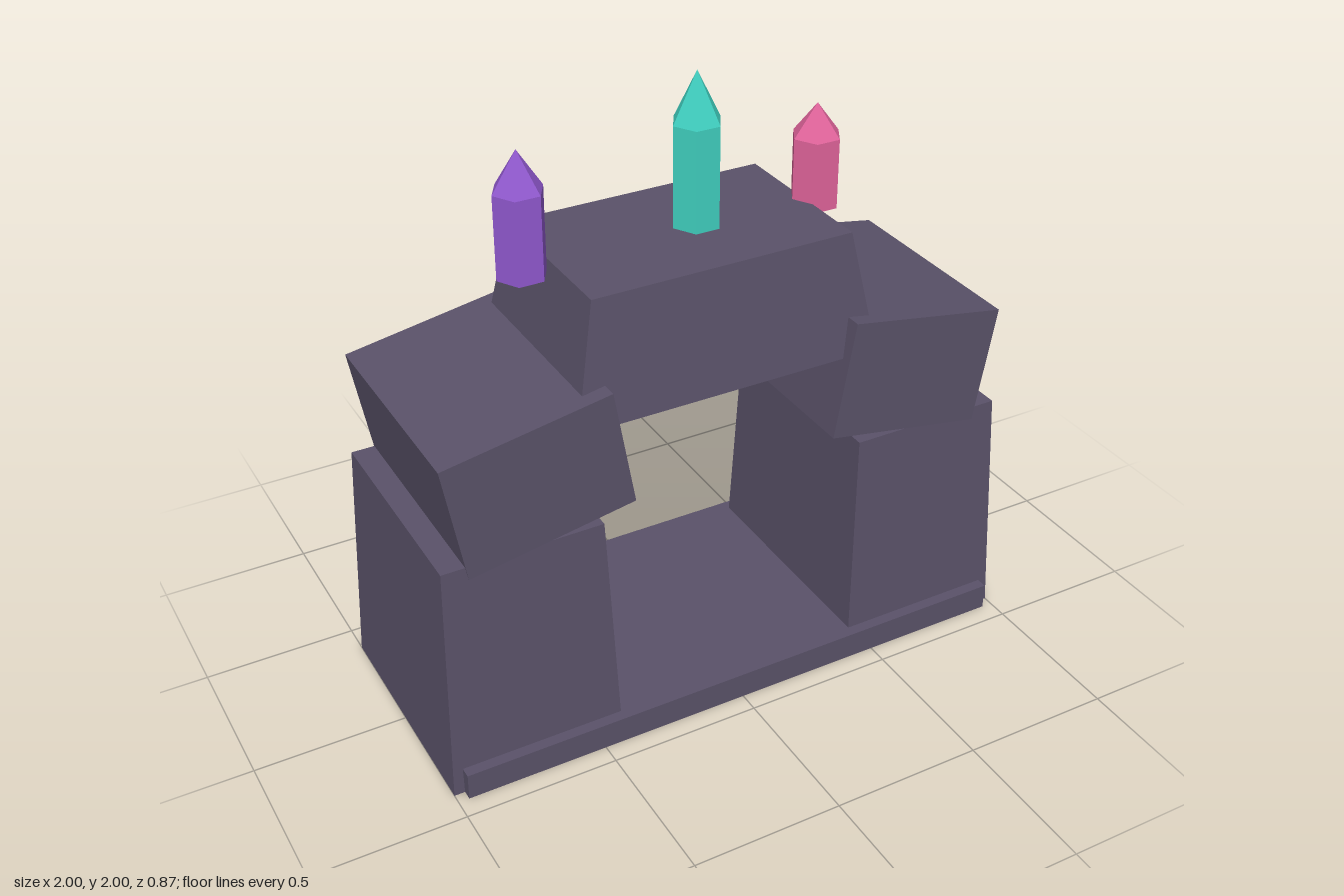
import * as THREE from 'three';

const mat = (name, color) => {
  const m = new THREE.MeshStandardMaterial({ color, flatShading: true });
  m.name = name;
  return m;
};

// Box standing on y = 0 whose top is scaled by taper
function taperedBox(w, h, d, taper) {
  const geo = new THREE.BoxGeometry(w, h, d).translate(0, h / 2, 0);
  const p = geo.attributes.position;
  for (let i = 0; i < p.count; i++) {
    if (p.getY(i) > h / 2) {
      p.setX(i, p.getX(i) * taper);
      p.setZ(i, p.getZ(i) * taper);
    }
  }
  geo.computeVertexNormals();
  return geo;
}

export function createModel() {
  const group = new THREE.Group();
  const stone = mat('stone', 0x5a5269);

  const add = (name, geo, material, x, y, parent = group) => {
    const mesh = new THREE.Mesh(geo, material);
    mesh.name = name;
    mesh.position.set(x, y, 0);
    parent.add(mesh);
    return mesh;
  };

  // Threshold slab
  add('threshold', new THREE.BoxGeometry(1.93, 0.09, 0.865), stone, 0, 0.045);

  // Pillars and the tilted blocks resting on them
  for (const [side, s] of [['left', 1], ['right', -1]]) {
    add(side + 'Pillar', taperedBox(0.576, 0.8, 0.8, 0.905), stone, s * 0.712, 0);
    const block = add(side + 'ShoulderBlock', new THREE.BoxGeometry(0.55, 0.396, 0.734), stone, s * 0.652, 1.0);
    block.rotation.z = -s * 0.172;
  }

  // Keystone across the top
  add('keystone', taperedBox(1.025, 0.4, 0.664, 0.85), stone, 0, 1.11);

  // Six-sided crystals: a shaft and a point
  const crystals = [
    ['purpleCrystal', 0x9159cf, -0.52, 0.27, 0.125],
    ['tealCrystal', 0x40d0c0, 0.06, 0.36, 0.16],
    ['pinkCrystal', 0xe0649b, 0.48, 0.23, 0.105],
  ];
  const r = 0.08;
  for (const [name, color, x, shaft, tip] of crystals) {
    const material = mat(name.replace('Crystal', ' crystal'), color);
    const crystal = new THREE.Group();
    crystal.name = name;
    crystal.position.set(x, 1.48, 0);
    crystal.rotation.y = Math.PI / 6;
    add('shaft', new THREE.CylinderGeometry(r, r, shaft, 6), material, 0, shaft / 2, crystal);
    add('point', new THREE.ConeGeometry(r, tip, 6, 1, true), material, 0, shaft + tip / 2, crystal);
    group.add(crystal);
  }

  return group;
}
